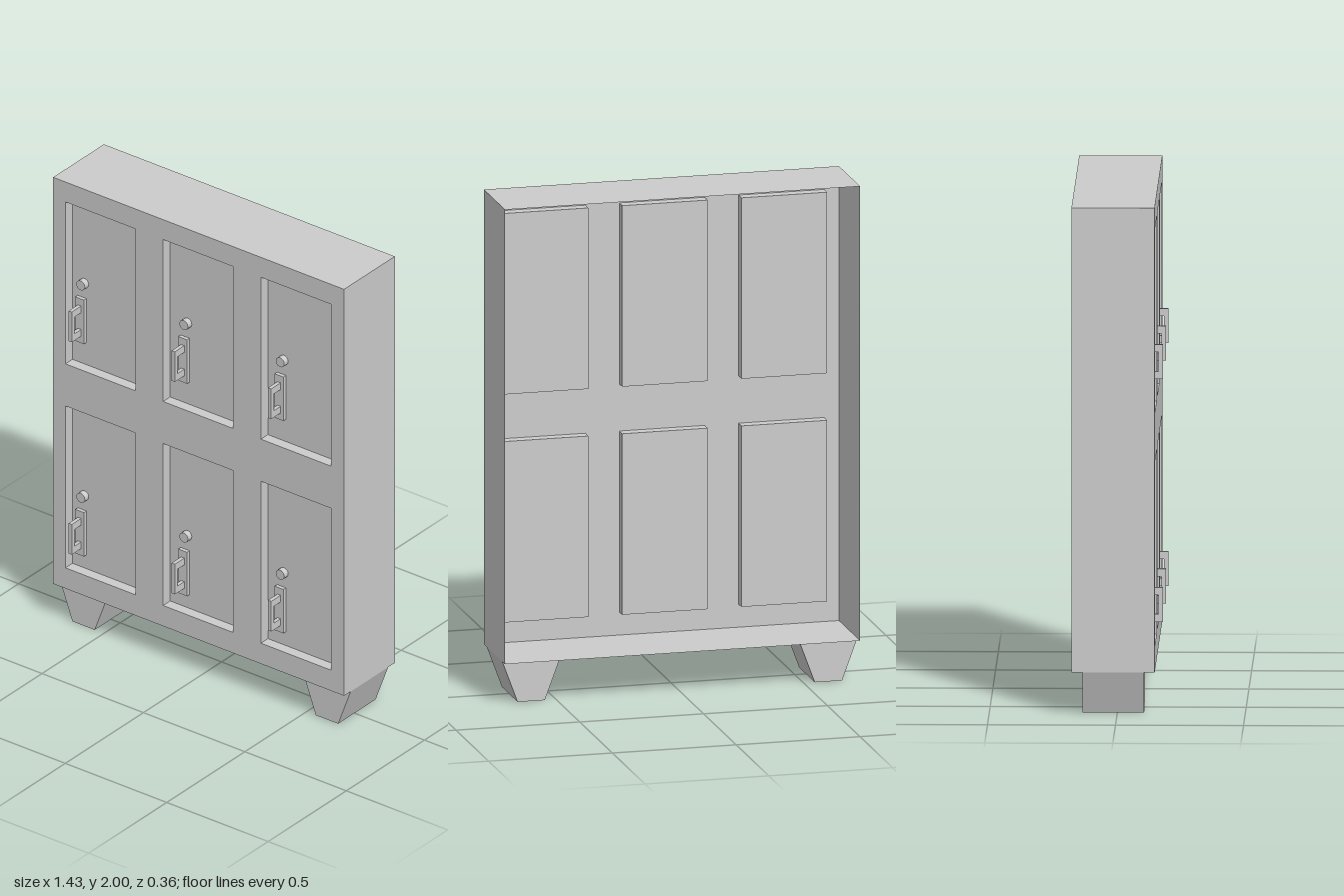
import * as THREE from 'three';

const mat = new THREE.MeshStandardMaterial({ color: 0xcccccc, flatShading: true });
const sheet = new THREE.MeshStandardMaterial({ color: 0xcccccc, flatShading: true, side: THREE.DoubleSide });

const W = 1.434, BOTTOM = 0.167, TOP = 2, FRONT = 0.147, BACK = -0.178;
const DEPTH = FRONT - BACK, MID_Z = (FRONT + BACK) / 2;
const DOOR_W = 0.345, DOOR_H = 0.73, RECESS = 0.045, DOOR_Z = FRONT - RECESS;

// Door centre, handle centre and lock centre for each column and row
const columns = [
  { door: -0.484, handle: -0.609, lock: -0.597 },
  { door: -0.0025, handle: -0.101, lock: -0.089 },
  { door: 0.4795, handle: 0.374, lock: 0.386 },
];
const rows = [
  { door: 1.545, handle: 1.379, lock: 1.545 },
  { door: 0.625, handle: 0.421, lock: 0.587 },
];

function add(parent, name, geometry, x, y, z, material = mat) {
  const mesh = new THREE.Mesh(geometry, material);
  mesh.name = name;
  mesh.position.set(x, y, z);
  parent.add(mesh);
  return mesh;
}

// Thin-walled box keeping only the listed sides (+x, -x, +y, -y, +z, -z = 0..5)
function openBox(w, h, d, sides) {
  const g = new THREE.BoxGeometry(w, h, d);
  const index = Array.from(g.index.array);
  g.setIndex(sides.flatMap((s) => index.slice(s * 6, s * 6 + 6)));
  g.clearGroups();
  return g;
}

function rectangle(target, x, y, w, h) {
  target.moveTo(x - w / 2, y - h / 2);
  target.lineTo(x + w / 2, y - h / 2);
  target.lineTo(x + w / 2, y + h / 2);
  target.lineTo(x - w / 2, y + h / 2);
  target.closePath();
  return target;
}

// Mounting plate with a C-shaped pull
function makeHandle() {
  const handle = new THREE.Group();
  handle.name = 'handle';
  add(handle, 'handlePlate', new THREE.BoxGeometry(0.043, 0.198, 0.016), 0, 0, DOOR_Z + 0.008);
  const tip = 0.178, grip = 0.018;
  add(handle, 'handleGrip', new THREE.BoxGeometry(0.016, 0.136, grip), 0, 0, tip - grip / 2);
  const start = DOOR_Z + 0.016, len = tip - grip - start;
  for (const s of [-1, 1]) {
    add(handle, 'handlePost', new THREE.BoxGeometry(0.016, 0.03, len), 0, s * 0.053, start + len / 2);
  }
  return handle;
}

export function createModel() {
  const group = new THREE.Group();
  group.name = 'lockerCabinet';

  // Cabinet walls, open at the back
  const midY = (BOTTOM + TOP) / 2;
  add(group, 'cabinetWalls', openBox(W, TOP - BOTTOM, DEPTH, [0, 1, 2, 3]), 0, midY, MID_Z, sheet);

  // Front panel with six door openings
  const face = rectangle(new THREE.Shape(), 0, midY, W, TOP - BOTTOM);
  for (const c of columns) {
    for (const r of rows) face.holes.push(rectangle(new THREE.Path(), c.door, r.door, DOOR_W, DOOR_H));
  }
  add(group, 'frontPanel', new THREE.ShapeGeometry(face), 0, 0, FRONT, sheet);

  // Recessed doors with locks and handles
  const pan = openBox(DOOR_W, DOOR_H, RECESS, [0, 1, 2, 3, 5]);
  const lock = new THREE.CylinderGeometry(0.021, 0.021, 0.025, 16).rotateX(Math.PI / 2);
  for (const c of columns) {
    for (const r of rows) {
      add(group, 'door', pan, c.door, r.door, FRONT - RECESS / 2, sheet);
      add(group, 'lock', lock, c.lock, r.lock, DOOR_Z + 0.0125);
      const handle = makeHandle();
      handle.position.set(c.handle, r.handle, 0);
      group.add(handle);
    }
  }

  // Tapered feet
  const profile = new THREE.Shape([[-0.055, 0], [0.055, 0], [0.117, BOTTOM], [-0.117, BOTTOM]]
    .map(([x, y]) => new THREE.Vector2(x, y)));
  const foot = new THREE.ExtrudeGeometry(profile, { depth: 0.24, bevelEnabled: false });
  for (const s of [-1, 1]) add(group, s < 0 ? 'rightFoot' : 'leftFoot', foot, s * 0.6, 0, MID_Z - 0.12);

  return group;
}
